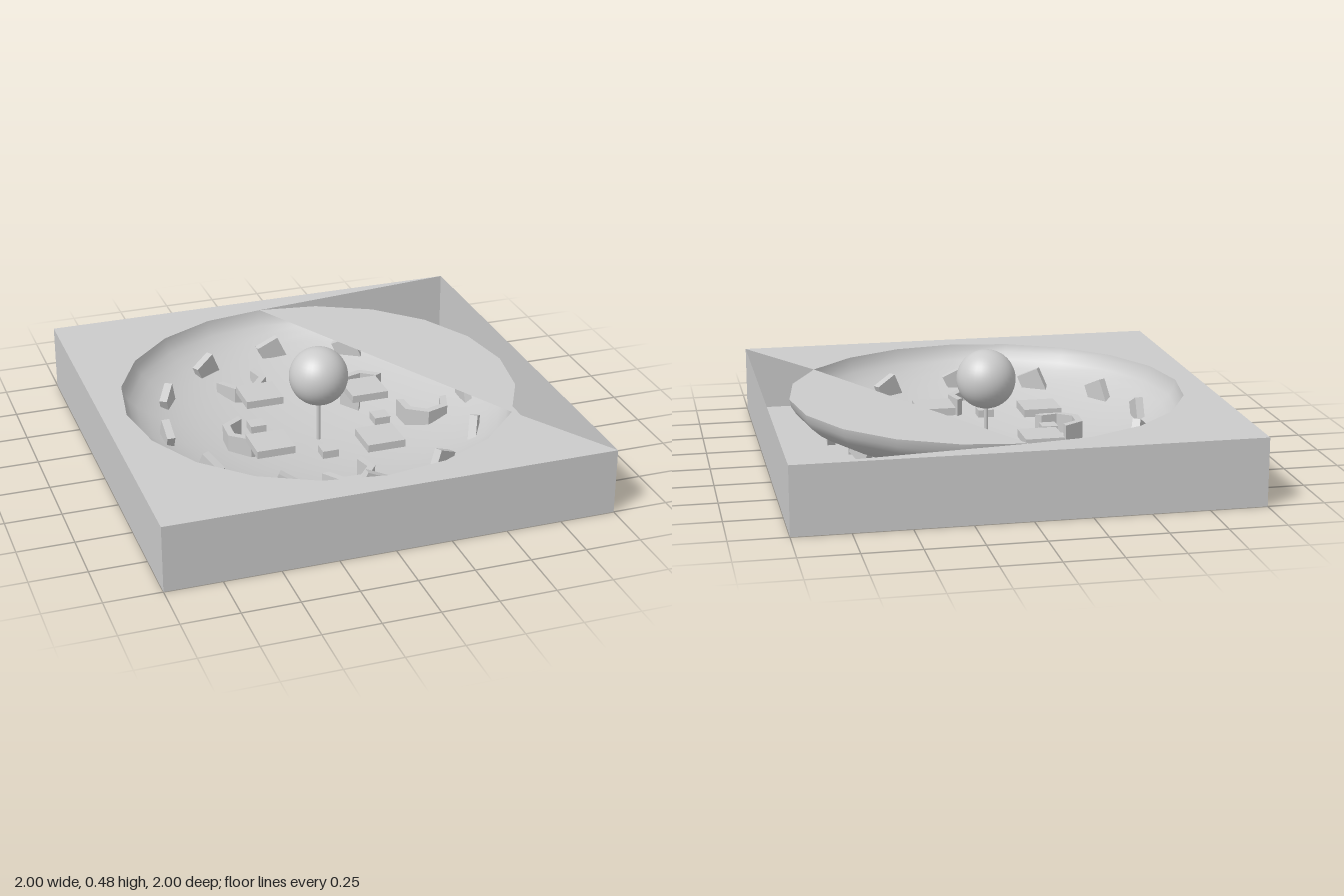
import * as THREE from 'three';

const TOP = 0.3, R = 0.89, DEPTH = 0.27, SIDES = 20;
const mat = new THREE.MeshStandardMaterial({ color: 0xcccccc, side: THREE.DoubleSide });
const rad = THREE.MathUtils.degToRad;

function add(parent, name, geometry, x = 0, y = 0, z = 0) {
  const mesh = new THREE.Mesh(geometry, mat);
  mesh.name = name;
  mesh.position.set(x, y, z);
  parent.add(mesh);
  return mesh;
}

// points on a circle; angle runs from +x towards +z, returned as (x, -z) for shapes laid flat
function arc(radius, from, to, steps) {
  return Array.from({ length: steps + 1 }, (_, i) => {
    const t = rad(from + (to - from) * i / steps);
    return new THREE.Vector2(radius * Math.cos(t), -radius * Math.sin(t));
  });
}

const flat = (points) => new THREE.ShapeGeometry(new THREE.Shape(points)).rotateX(-Math.PI / 2);

// low curved screen, a 213 degree arc in four straight panels
function screenGeometry(start) {
  const pts = [...arc(0.123, start, start + 213, 4), ...arc(0.088, start + 213, start, 4)];
  return new THREE.ExtrudeGeometry(new THREE.Shape(pts), { depth: 0.11, bevelEnabled: false })
    .rotateX(-Math.PI / 2);
}

export function createModel() {
  const model = new THREE.Group();
  model.name = 'sunkenArena';

  // base: four walls and a floor
  const base = new THREE.Group();
  base.name = 'base';
  model.add(base);
  for (let i = 0; i < 4; i++) {
    const a = i * Math.PI / 2;
    const wall = add(base, 'baseWall', new THREE.PlaneGeometry(2, TOP), Math.sin(a), TOP / 2, Math.cos(a));
    wall.rotation.y = a;
  }
  add(base, 'baseFloor', new THREE.PlaneGeometry(2, 2).rotateX(Math.PI / 2));

  // top deck, open along one side, and the flat cover over part of the bowl
  const v = (x, z) => new THREE.Vector2(x, -z);
  add(model, 'topDeck', flat([v(-1, -1), v(1, -1), ...arc(R, -90, -324, 13), v(1, 1), v(-1, 1)]), 0, TOP);
  add(model, 'bowlCover', flat(arc(R, -90, 36, 7)), 0, TOP);

  // flattened half-sphere bowl
  const profile = Array.from({ length: 13 }, (_, i) => {
    const t = (i / 12) * Math.PI / 2;
    return new THREE.Vector2(R * Math.sin(t), TOP - DEPTH * Math.cos(t));
  });
  add(model, 'bowl', new THREE.LatheGeometry(profile, SIDES));

  // ball on a thin pole
  add(model, 'pole', new THREE.CylinderGeometry(0.01, 0.01, 0.23, 12), 0, 0.14, 0);
  add(model, 'ball', new THREE.SphereGeometry(0.134, 32, 24), 0, 0.35, 0);

  // ring of tilted upright slabs
  for (let i = 0; i < 12; i++) {
    const pivot = new THREE.Group();
    pivot.name = 'slabPivot';
    pivot.rotation.y = i * Math.PI / 6;
    model.add(pivot);
    add(pivot, 'tiltedSlab', new THREE.BoxGeometry(0.11, 0.11, 0.036), 0, 0.16, 0.71).rotation.z = rad(-25);
  }

  // platforms and small blocks, each repeated by quarter turns
  for (const [x, z] of [[-0.19, -0.29], [0.29, -0.19], [0.19, 0.29], [-0.29, 0.19]])
    add(model, 'platform', new THREE.BoxGeometry(0.175, 0.035, 0.175), x, 0.148, z);
  for (const [x, z] of [[0.05, -0.28], [0.28, 0.05], [-0.05, 0.28], [-0.28, -0.05]])
    add(model, 'smallBlock', new THREE.BoxGeometry(0.073, 0.035, 0.073), x, 0.118, z);

  // curved screens: x, z, start angle
  for (const [x, z, start] of [
    [-0.22, -0.5, -41], [-0.33, 0, 50], [-0.04, 0.5, -41], [0.51, 0, -8], [0.32, -0.28, 120],
  ]) add(model, 'curvedScreen', screenGeometry(start), x, 0.035, z);

  return model;
}
